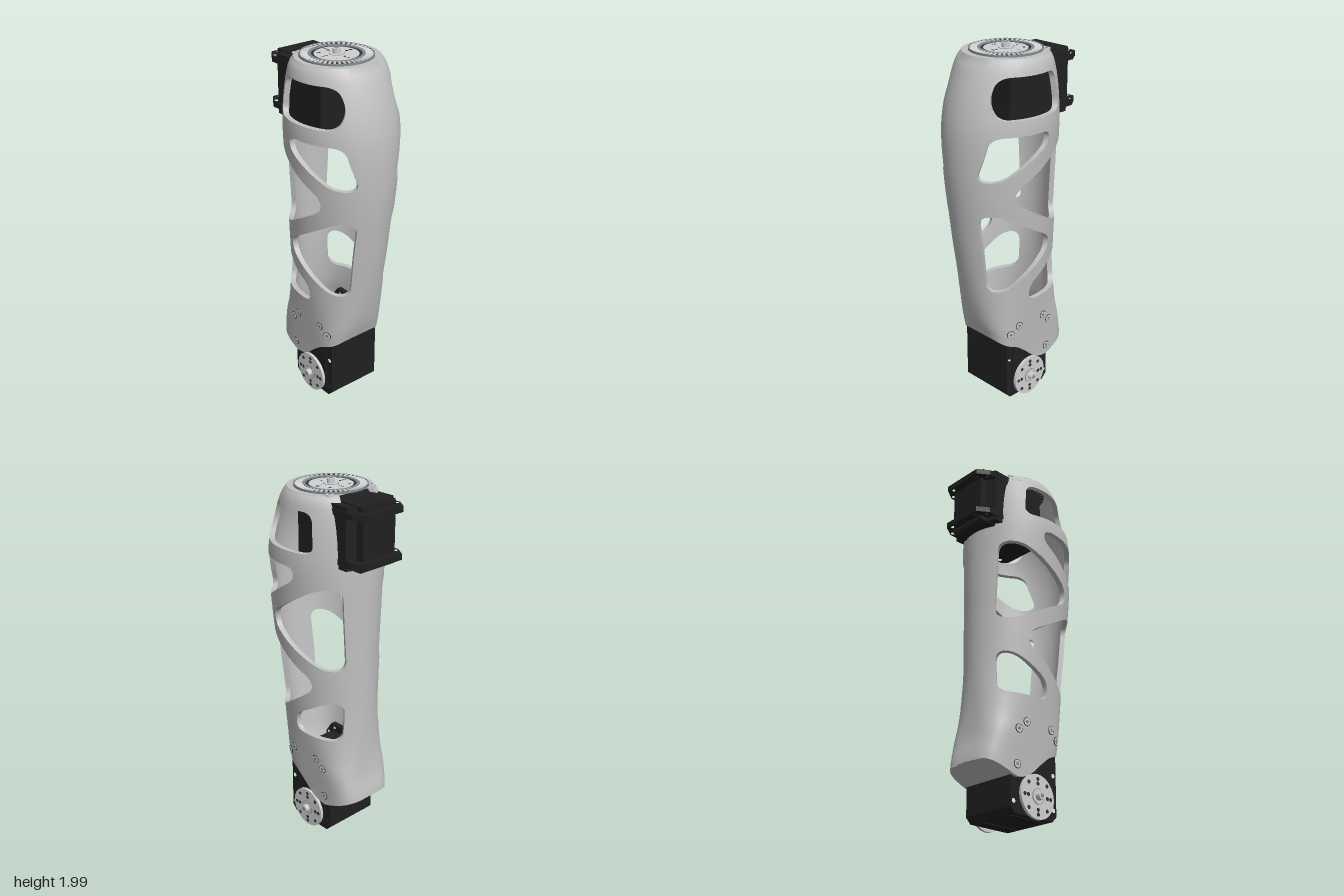
import * as THREE from 'three';
import { toCreasedNormals } from 'three/addons/utils/BufferGeometryUtils.js';

const mat = (name, color, side = THREE.FrontSide) => {
  const m = new THREE.MeshStandardMaterial({ color, side });
  m.name = name;
  return m;
};
const V2 = (x, y) => new THREE.Vector2(x, y);

// Shell profile by height: left x, right x, half depth, roundness exponent
const PROFILE = [
  [0.15, -0.312, 0.2, 0.175, 4], [0.27, -0.312, 0.2, 0.182, 4], [0.4, -0.285, 0.215, 0.193, 4],
  [0.5, -0.275, 0.247, 0.202, 3], [0.7, -0.27, 0.29, 0.222, 2.2], [1.0, -0.27, 0.335, 0.248, 2],
  [1.4, -0.272, 0.37, 0.276, 2], [1.65, -0.268, 0.357, 0.288, 2], [1.88, -0.245, 0.288, 0.254, 2],
  [1.94, -0.222, 0.257, 0.237, 2], [1.965, -0.2, 0.235, 0.22, 2],
];
const spline = new THREE.CubicInterpolant(PROFILE.map(r => r[0]), PROFILE.flatMap(r => r.slice(1)), 4);
const TOP = 1.965, WALL = 0.028, S = 0.3;

function section(y) {
  const [l, r, b, n] = spline.evaluate(y);
  return { c: (l + r) / 2, a: (r - l) / 2, b, n };
}
// Flat shell coordinate (u, y) to space, and x back to u
function surface(u, y, inset = 0) {
  const { c, a, b, n } = section(y), s = Math.sin(u / S), k = Math.max(Math.cos(u / S), 0);
  return new THREE.Vector3(c + (a - inset) * Math.sign(s) * Math.abs(s) ** (2 / n), y, (b - inset) * k ** (2 / n));
}
function unroll(x, y) {
  const { c, a, n } = section(y), t = THREE.MathUtils.clamp((x - c) / a, -1, 1);
  return V2(S * Math.asin(Math.sign(t) * Math.abs(t) ** (n / 2)), y);
}
function normalAt(p) {
  const f = (x, y, z) => {
    const { c, a, b, n } = section(y);
    return Math.abs((x - c) / a) ** n + Math.abs(z / b) ** n;
  };
  const e = 0.001, { x, y, z } = p;
  return new THREE.Vector3(f(x + e, y, z) - f(x - e, y, z), f(x, y + e, z) - f(x, y - e, z),
    f(x, y, z + e) - f(x, y, z - e)).normalize();
}

// Rounded polygon hole, given in front x, y
function windowLoop(points, r = 0.055) {
  const path = new THREE.Path(), n = points.length, P = points.map(p => V2(...p));
  P.forEach((p, i) => {
    const toward = q => p.clone().lerp(q, Math.min(r / p.distanceTo(q), 0.48));
    const a = toward(P[(i + n - 1) % n]), b = toward(P[(i + 1) % n]);
    i ? path.lineTo(a.x, a.y) : path.moveTo(a.x, a.y);
    path.quadraticCurveTo(p.x, p.y, b.x, b.y);
  });
  path.closePath();
  return path.getSpacedPoints(80).slice(0, -1).map(p => unroll(p.x, p.y));
}
const line = (a, b, n) => Array.from({ length: n }, (_, i) => a.clone().lerp(b, i / n));

function buildShell(material) {
  // Outline: lower lip, right seam, top, motor notch, left seam
  const lip = new THREE.SplineCurve([[-0.312, 0.27], [-0.2, 0.225], [-0.12, 0.2], [-0.04, 0.225], [0.03, 0.285],
    [0.1, 0.34], [0.17, 0.37], [0.215, 0.41], [0.25, 0.48]].map(p => V2(...p)))
    .getSpacedPoints(60).map(p => unroll(p.x, p.y));
  const E = S * Math.PI / 2, notchTop = unroll(-0.17, TOP), notchLow = unroll(-0.24, 1.6);
  lip[0].x = -E;
  lip[60].x = E;
  const topEdge = line(V2(E, TOP), notchTop, 40);
  const contour = [...lip, ...line(lip[60], V2(E, TOP), 40).slice(1), ...topEdge,
    ...line(notchTop, notchLow, 12), ...line(notchLow, V2(-E, 1.6), 8), ...line(V2(-E, 1.6), lip[0], 40)];
  const holes = [
    [[-0.1, 1.885], [0.225, 1.885], [0.28, 1.77], [0.262, 1.68], [-0.125, 1.68]],
    [[-0.015, 1.6], [0.295, 1.6], [0.342, 1.365], [0.25, 1.365], [-0.015, 1.53]],
    [[-0.23, 1.5], [-0.14, 1.5], [0.18, 1.31], [0.18, 1.23], [-0.15, 1.045], [-0.235, 1.045]],
    [[0.262, 0.72], [0.19, 0.72], [-0.085, 0.91], [-0.085, 0.98], [0.25, 1.175], [0.322, 1.175]],
    [[-0.228, 0.855], [-0.16, 0.855], [0.05, 0.73], [0.05, 0.628], [-0.228, 0.628]],
  ].map(h => windowLoop(h));

  // Skin, divided finely enough to follow the curve
  const all = [contour, ...holes].flat(), tris = [];
  const divide = (a, b, c) => {
    const d = [a.distanceTo(b), b.distanceTo(c), c.distanceTo(a)], m = Math.max(...d);
    if (m < 0.05) return tris.push([a, b, c]);
    if (m === d[1]) [a, b, c] = [b, c, a];
    else if (m === d[2]) [a, b, c] = [c, a, b];
    const h = a.clone().add(b).multiplyScalar(0.5);
    divide(a, h, c);
    divide(h, b, c);
  };
  for (const [i, j, k] of THREE.ShapeUtils.triangulateShape(contour, holes)) {
    const [a, b, c] = [all[i], all[j], all[k]];
    const area = (b.x - a.x) * (c.y - a.y) - (c.x - a.x) * (b.y - a.y);
    area > 0 ? divide(a, b, c) : divide(a, c, b);
  }
  const pos = [], nor = [], edge = [];
  const quad = (a, b, c, d) => [a, b, c, a, c, d].forEach(p => edge.push(p.x, p.y, p.z));
  for (const sz of [1, -1]) {
    for (const inset of [0, WALL]) {
      const sign = inset ? -1 : 1;
      for (const [a, b, c] of tris) {
        for (const q of sz * sign > 0 ? [a, b, c] : [a, c, b]) {
          const p = surface(q.x, q.y, inset), n = normalAt(p).multiplyScalar(sign);
          pos.push(p.x, p.y, p.z * sz);
          nor.push(n.x, n.y, n.z * sz);
        }
      }
    }
    // Wall thickness round the outline and windows
    for (const loop of [contour, ...holes]) loop.forEach((q, i) => {
      const r = loop[(i + 1) % loop.length];
      const c = [surface(q.x, q.y), surface(q.x, q.y, WALL), surface(r.x, r.y, WALL), surface(r.x, r.y)];
      c.forEach(p => { p.z *= sz; });
      quad(...(sz > 0 ? c : c.reverse()));
    });
  }
  // Closed underside and top, spanning front to back
  for (const row of [lip, [...topEdge, notchTop]]) for (let i = 0; i < row.length - 1; i++) {
    const a = surface(row[i].x, row[i].y), d = surface(row[i + 1].x, row[i + 1].y);
    const back = p => new THREE.Vector3(p.x, p.y, -p.z);
    quad(a, back(a), back(d), d);
  }
  const skin = new THREE.BufferGeometry();
  skin.setAttribute('position', new THREE.Float32BufferAttribute(pos, 3));
  skin.setAttribute('normal', new THREE.Float32BufferAttribute(nor, 3));
  const rims = new THREE.BufferGeometry();
  rims.setAttribute('position', new THREE.Float32BufferAttribute(edge, 3));
  const g = new THREE.Group();
  g.name = 'shell';
  add(g, 'shellSkin', skin, material);
  add(g, 'shellRims', toCreasedNormals(rims, 0.6), material);
  return g;
}

function add(parent, name, geometry, material, x = 0, y = 0, z = 0) {
  const m = new THREE.Mesh(geometry, material);
  m.name = name;
  m.position.set(x, y, z);
  parent.add(m);
  return m;
}
const disc = (r, h, n = 40) => new THREE.CylinderGeometry(r, r, h, n);

// Plate in x, z with round holes, thick along y, centred on y = 0
function plate(half, holes, h) {
  const s = new THREE.Shape([...half.map(p => V2(...p)), ...half.slice().reverse().map(([x, y]) => V2(x, -y))]);
  for (const [x, y] of holes) for (const k of [1, -1])
    s.holes.push(new THREE.Path().absarc(x, y * k, 0.012, 0, Math.PI * 2, true));
  return new THREE.ExtrudeGeometry(s, { depth: h, bevelEnabled: false, curveSegments: 8 })
    .translate(0, 0, -h / 2).rotateX(Math.PI / 2);
}

export function createModel() {
  const shell = mat('shell grey', 0xc0c0c0, THREE.DoubleSide), black = mat('motor black', 0x202020);
  const silver = mat('horn silver', 0xd0d0d0), steel = mat('bearing steel', 0x7e8a90), dark = mat('recess dark', 0x303234);
  const model = new THREE.Group();
  model.name = 'limb';
  model.add(buildShell(shell));

  // Output horn: disc, bolt holes and hub, facing +y
  const horn = () => {
    const g = new THREE.Group();
    g.name = 'horn';
    add(g, 'hornDisc', disc(0.114, 0.016), silver, 0, 0.008);
    for (let i = 0; i < 8; i++) for (const r of i % 2 ? [0.09] : [0.09, 0.066]) {
      const t = i * Math.PI / 4;
      add(g, 'hornHole', disc(0.01, 0.003, 12), dark, r * Math.cos(t), 0.0165, r * Math.sin(t));
    }
    add(g, 'hubRing', disc(0.04, 0.006), steel, 0, 0.016);
    add(g, 'hubFace', disc(0.037, 0.007), silver, 0, 0.0165);
    add(g, 'hubScrew', disc(0.021, 0.03, 20), silver, 0, 0.03);
    add(g, 'hubSocket', disc(0.011, 0.002, 6), steel, 0, 0.0455);
    return g;
  };

  // Motor: output axis along y, long end toward -x
  const motor = () => {
    const g = new THREE.Group();
    g.name = 'motor';
    add(g, 'motorBody', plate([[-0.345, 0.11], [-0.3, 0.11], [-0.28, 0.16], [0.07, 0.16], [0.1, 0.13]],
      [[0.04, 0.14], [-0.14, 0.14]], 0.32), black);
    for (const s of [1, -1]) {
      add(g, 'motorFlange', plate([[-0.387, 0.12], [-0.323, 0.163], [-0.18, 0.163]],
        [[-0.365, 0.09], [-0.323, 0.14]], 0.03), black, 0, 0.122 * s);
      add(g, 'motorLid', new THREE.BoxGeometry(0.4, 0.008, 0.23), black, -0.135, 0.162 * s);
      add(g, 'motorPanel', new THREE.BoxGeometry(0.007, 0.05, 0.24), black, 0.1, 0.1 * s);
    }
    return g;
  };
  const upper = motor();
  upper.name = 'upperMotor';
  upper.position.set(0.01, 1.775, 0);
  const lower = motor();
  lower.name = 'lowerMotor';
  lower.quaternion.setFromRotationMatrix(new THREE.Matrix4().makeBasis(
    new THREE.Vector3(0, -1, 0), new THREE.Vector3(0, 0, 1), new THREE.Vector3(-1, 0, 0)));
  lower.position.set(0.005, 0.12, 0);
  for (const s of [1, -1]) {
    const h = horn();
    h.position.y = 0.172 * s;
    h.rotation.x = s > 0 ? 0 : Math.PI;
    lower.add(h);
  }
  model.add(upper, lower);

  // Top roller bearing around the upper horn
  const bearing = new THREE.Group();
  bearing.name = 'bearing';
  bearing.position.set(0.01, TOP, 0);
  add(bearing, 'bearingBase', disc(0.188, 0.006, 64), dark, 0, 0.002);
  for (const [a, b] of [[0.128, 0.144], [0.183, 0.19]])
    add(bearing, 'bearingRing', new THREE.LatheGeometry([[a, 0], [b, 0], [b, 0.01], [a, 0.01], [a, 0]]
      .map(p => V2(...p)), 64).toNonIndexed(), steel).geometry.computeVertexNormals();
  for (let i = 0; i < 42; i++) {
    const t = i * Math.PI / 21;
    const r = add(bearing, 'roller', disc(0.0068, 0.037, 8).rotateZ(Math.PI / 2), silver,
      0.163 * Math.cos(t), 0.005, -0.163 * Math.sin(t));
    r.rotation.y = t;
  }
  const topHorn = horn();
  topHorn.position.y = -0.011;
  topHorn.children[0].position.y = 0.01;
  bearing.add(topHorn);
  model.add(bearing);

  // Shell screws, front and back, and the two on top
  for (const s of [1, -1]) {
    for (const [x, y] of [[-0.13, 0.44], [-0.08, 0.485], [0.1, 0.485], [0.15, 0.44], [-0.13, 0.26]]) {
      const p = surface(unroll(x, y).x, y), screw = new THREE.Group();
      screw.name = 'shellScrew';
      p.z *= s;
      screw.position.copy(p);
      screw.quaternion.setFromUnitVectors(new THREE.Vector3(0, 1, 0), normalAt(p));
      add(screw, 'screwRecess', disc(0.023, 0.004, 20), dark);
      add(screw, 'screwHead', disc(0.02, 0.007, 20), silver);
      add(screw, 'screwSocket', disc(0.01, 0.009, 6), steel);
      model.add(screw);
    }
    add(model, 'topBolt', disc(0.02, 0.01, 20), silver, -0.135, TOP, 0.142 * s);
    add(model, 'topBoltSocket', disc(0.01, 0.012, 6), steel, -0.135, TOP, 0.142 * s);
  }
  return model;
}
